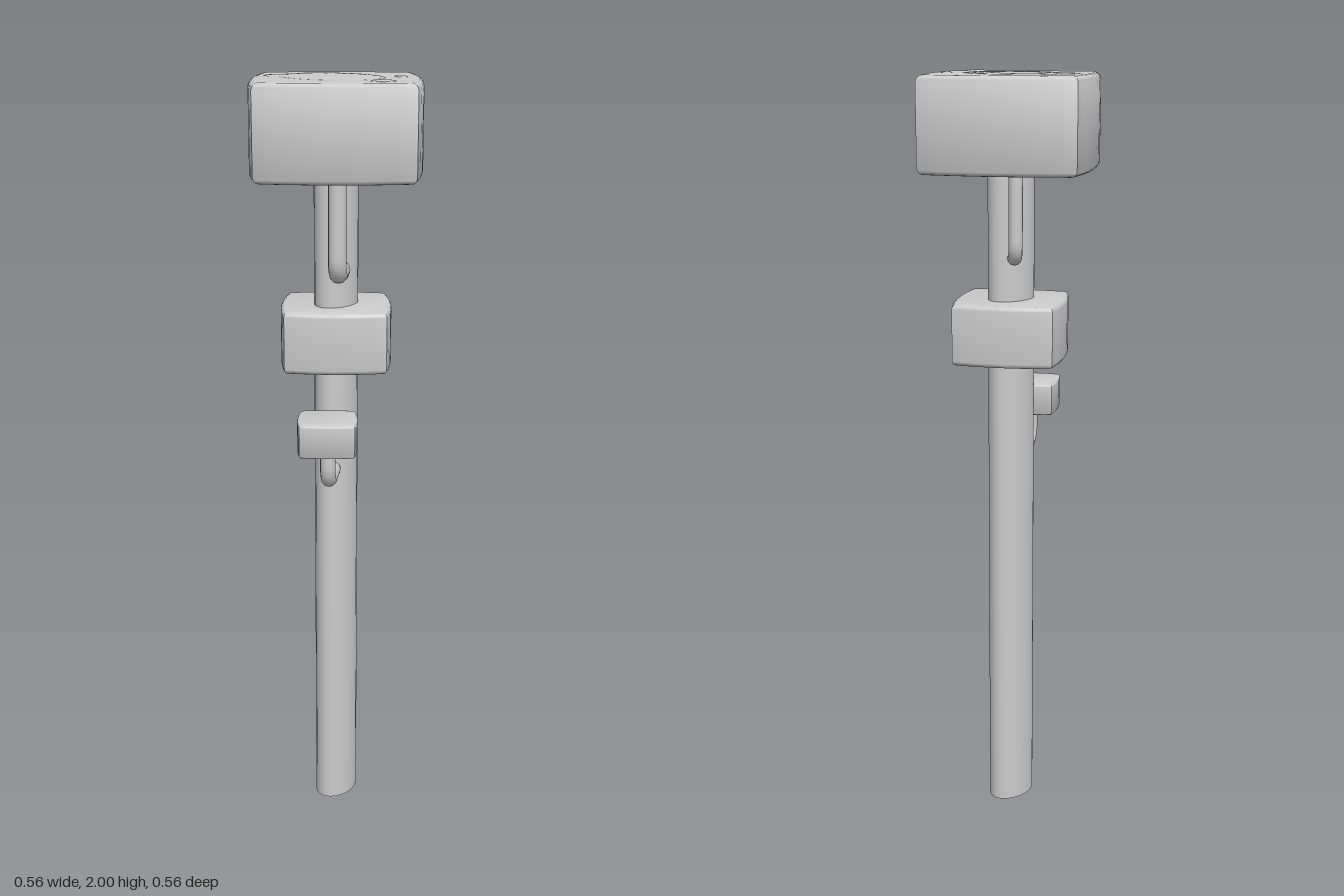
import * as THREE from 'three';
import { toCreasedNormals } from 'three/addons/utils/BufferGeometryUtils.js';

const material = new THREE.MeshStandardMaterial({ color: 0xcccccc });

function add(parent, name, geometry, x = 0, y = 0, z = 0) {
  const mesh = new THREE.Mesh(geometry, material);
  mesh.name = name;
  mesh.position.set(x, y, z);
  parent.add(mesh);
  return mesh;
}

// Foliage block: diamond plan with softly bulging sides and rounded rims
function foliageGeometry(radius, height, bevel) {
  const corners = [[radius, 0], [0, radius], [-radius, 0], [0, -radius]];
  const bulge = 0.6;
  const shape = new THREE.Shape();
  shape.moveTo(...corners[0]);
  corners.forEach(([ax, ay], i) => {
    const [bx, by] = corners[(i + 1) % 4];
    shape.quadraticCurveTo((ax + bx) * bulge, (ay + by) * bulge, bx, by);
  });
  const geometry = new THREE.ExtrudeGeometry(shape, {
    depth: height - 2 * bevel,
    bevelThickness: bevel,
    bevelSize: bevel,
    bevelOffset: -bevel,
    bevelSegments: 4,
    curveSegments: 8,
  });
  geometry.rotateX(-Math.PI / 2);
  geometry.translate(0, bevel, 0);
  return toCreasedNormals(geometry, 0.7);
}

// Branch: leaves the trunk sideways, bends and rises straight up
function branch(parent, name, [sx, sz], [ex, ez], y, top, radius) {
  const bend = 0.05;
  const start = new THREE.Vector3(sx, y, sz);
  const elbow = new THREE.Vector3(ex, y, ez);
  const before = elbow.clone().lerp(start, Math.min(1, bend / elbow.distanceTo(start)));
  const after = new THREE.Vector3(ex, y + bend, ez);
  const path = new THREE.CurvePath();
  path.add(new THREE.LineCurve3(start, before));
  path.add(new THREE.QuadraticBezierCurve3(before, elbow, after));
  path.add(new THREE.LineCurve3(after, new THREE.Vector3(ex, top, ez)));
  const group = new THREE.Group();
  group.name = name;
  parent.add(group);
  add(group, name + 'Tube', new THREE.TubeGeometry(path, 40, radius, 12));
  add(group, name + 'RoundedEnd', new THREE.SphereGeometry(radius, 12, 8), sx, y, sz);
}

// Low mound rising through the top of the crown
function mound(parent, name, x, z, rx, rz, turn, rise = 0.004) {
  const mesh = add(parent, name, new THREE.SphereGeometry(1, 28, 12), x, 1.996, z);
  mesh.scale.set(rx, rise, rz);
  mesh.rotation.y = turn;
}

export function createModel() {
  const model = new THREE.Group();
  model.name = 'blockTree';

  // Oval trunk
  const trunk = add(model, 'trunk', new THREE.CylinderGeometry(1, 1, 1.9, 20), 0, 0.95, 0);
  trunk.scale.set(0.052, 1, 0.074);
  trunk.rotation.y = 0.33;

  // Foliage
  add(model, 'crown', foliageGeometry(0.282, 0.24, 0.018), 0, 1.756, 0);
  add(model, 'middleFoliage', foliageGeometry(0.185, 0.16, 0.012), 0, 1.265, 0);
  add(model, 'sideFoliage', foliageGeometry(0.099, 0.086, 0.006), 0.12, 1.08, 0.147);

  // Branches
  branch(model, 'crownFrontBranch', [0.05, 0.03], [0.117, 0.11], 1.522, 1.8, 0.023);
  branch(model, 'crownBackBranch', [-0.04, -0.02], [-0.1, -0.055], 1.538, 1.8, 0.018);
  branch(model, 'sideBranch', [0.045, 0.055], [0.122, 0.148], 0.99, 1.1, 0.02);

  // Mounds on the crown
  mound(model, 'crownMound', -0.022, -0.005, 0.152, 0.12, 0);
  mound(model, 'crownMoundLobe', -0.14, 0.065, 0.042, 0.04, 0, 0.003);
  mound(model, 'crownBackKnob', 0.098, -0.131, 0.024, 0.015, -0.4);
  mound(model, 'crownSideKnob', 0.176, 0.012, 0.032, 0.021, 0.9);

  return model;
}
